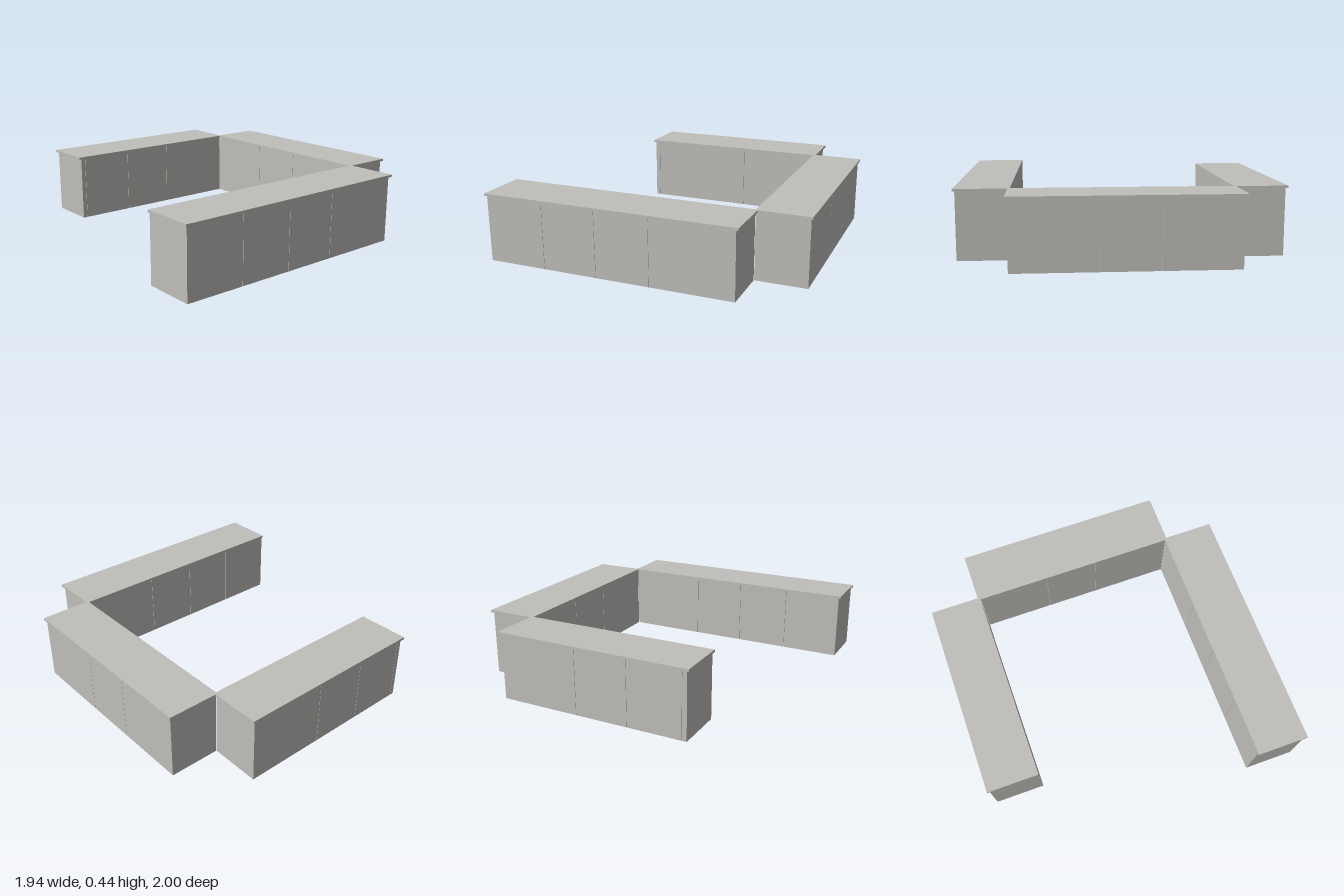
import * as THREE from 'three';

export function createModel() {
  const model = new THREE.Group();
  const grey = new THREE.MeshStandardMaterial({ color: 0xc0beba });
  grey.name = 'warm grey';

  const H = 0.42, TOP = 0.435, GAP = 0.002;

  function box(parent, name, x0, x1, y0, y1, z0, z1) {
    const mesh = new THREE.Mesh(new THREE.BoxGeometry(x1 - x0, y1 - y0, z1 - z0), grey);
    mesh.position.set((x0 + x1) / 2, (y0 + y1) / 2, (z0 + z1) / 2);
    mesh.name = name;
    parent.add(mesh);
  }

  // A run of cabinets split at the given seams, under one worktop.
  // across: the body's extent on the other axis; top: [x0, x1, z0, z1]
  function run(name, axis, seams, across, top) {
    const group = new THREE.Group();
    group.name = name;
    for (let i = 0; i < seams.length - 1; i++) {
      const a = seams[i] + (i > 0 ? GAP / 2 : 0);
      const b = seams[i + 1] - (i < seams.length - 2 ? GAP / 2 : 0);
      const [c, d] = across;
      if (axis === 'x') box(group, 'cabinet', a, b, 0, H, c, d);
      else box(group, 'cabinet', c, d, 0, H, a, b);
    }
    box(group, 'worktop', top[0], top[1], H, TOP, top[2], top[3]);
    model.add(group);
  }

  // Front, side and back runs; worktops overhang the outer faces and ends only
  run('frontRun', 'x', [-0.96, -0.58, -0.23, 0.115, 0.635], [0.665, 0.988], [-0.972, 0.652, 0.665, 1]);
  run('sideRun', 'z', [-0.665, -0.2, 0.15, 0.665], [0.637, 0.96], [0.637, 0.972, -0.682, 0.678]);
  run('backRun', 'x', [-0.61, -0.58, -0.23, 0.115, 0.635], [-0.988, -0.667], [-0.625, 0.652, -1, -0.667]);

  return model;
}
